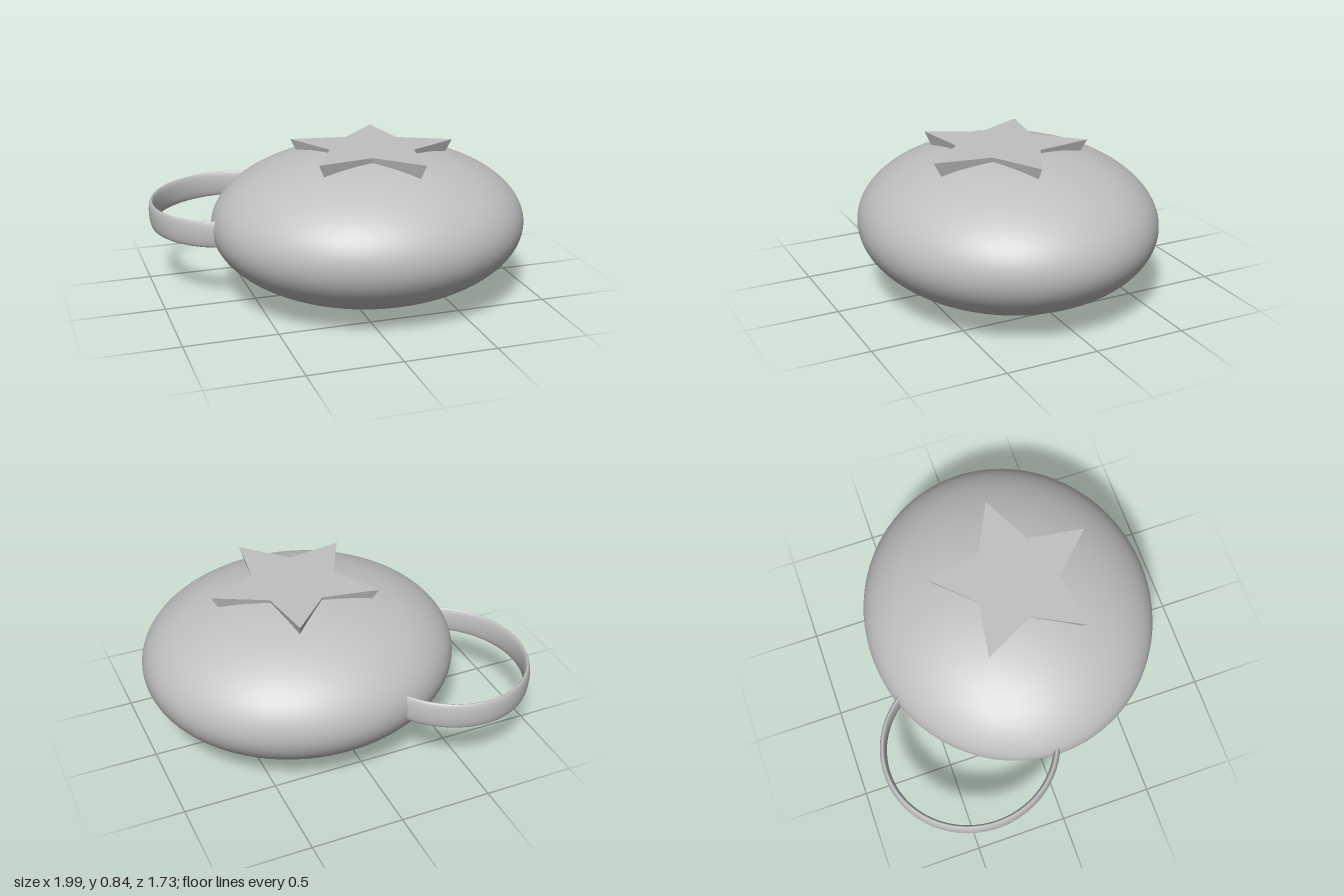
import * as THREE from 'three';

const grey = new THREE.MeshStandardMaterial({ color: 0xc0c0c0 });
grey.name = 'grey';

function addPart(group, name, geometry, x, y, z) {
  const mesh = new THREE.Mesh(geometry, grey);
  mesh.name = name;
  mesh.position.set(x, y, z);
  group.add(mesh);
  return mesh;
}

// Five-pointed star slab, flat on top and narrowing downwards
function starGeometry(outer, inner, depth, bottomScale) {
  const points = [];
  for (let i = 0; i < 10; i++) {
    const r = i % 2 ? inner : outer;
    const a = (i * Math.PI) / 5;
    points.push(new THREE.Vector2(r * Math.cos(a), r * Math.sin(a)));
  }
  const geometry = new THREE.ExtrudeGeometry(new THREE.Shape(points), { depth, bevelEnabled: false });
  geometry.rotateX(-Math.PI / 2);
  const p = geometry.attributes.position;
  for (let i = 0; i < p.count; i++) {
    if (p.getY(i) < depth / 2) p.setXYZ(i, p.getX(i) * bottomScale, p.getY(i), p.getZ(i) * bottomScale);
  }
  geometry.computeVertexNormals();
  return geometry;
}

export function createModel() {
  const group = new THREE.Group();
  group.name = 'starToppedPod';

  // Squashed round body
  const body = new THREE.SphereGeometry(1, 96, 64);
  body.scale(0.862, 0.419, 0.796);
  addPart(group, 'body', body, 0.13, 0.42, 0.065);

  // Star-shaped cap sunk into the top
  addPart(group, 'starCap', starGeometry(0.466, 0.235, 0.3, 0.63), 0.135, 0.545, 0.105);

  // Flat ribbon-like ring handle at the back right, slightly tilted
  const ring = new THREE.TorusGeometry(0.457, 0.0178, 24, 128);
  ring.rotateX(Math.PI / 2);
  ring.scale(0.98, 4.15, 1.02);
  addPart(group, 'ringHandle', ring, -0.535, 0.418, -0.381).rotation.z = 0.03;

  return group;
}
